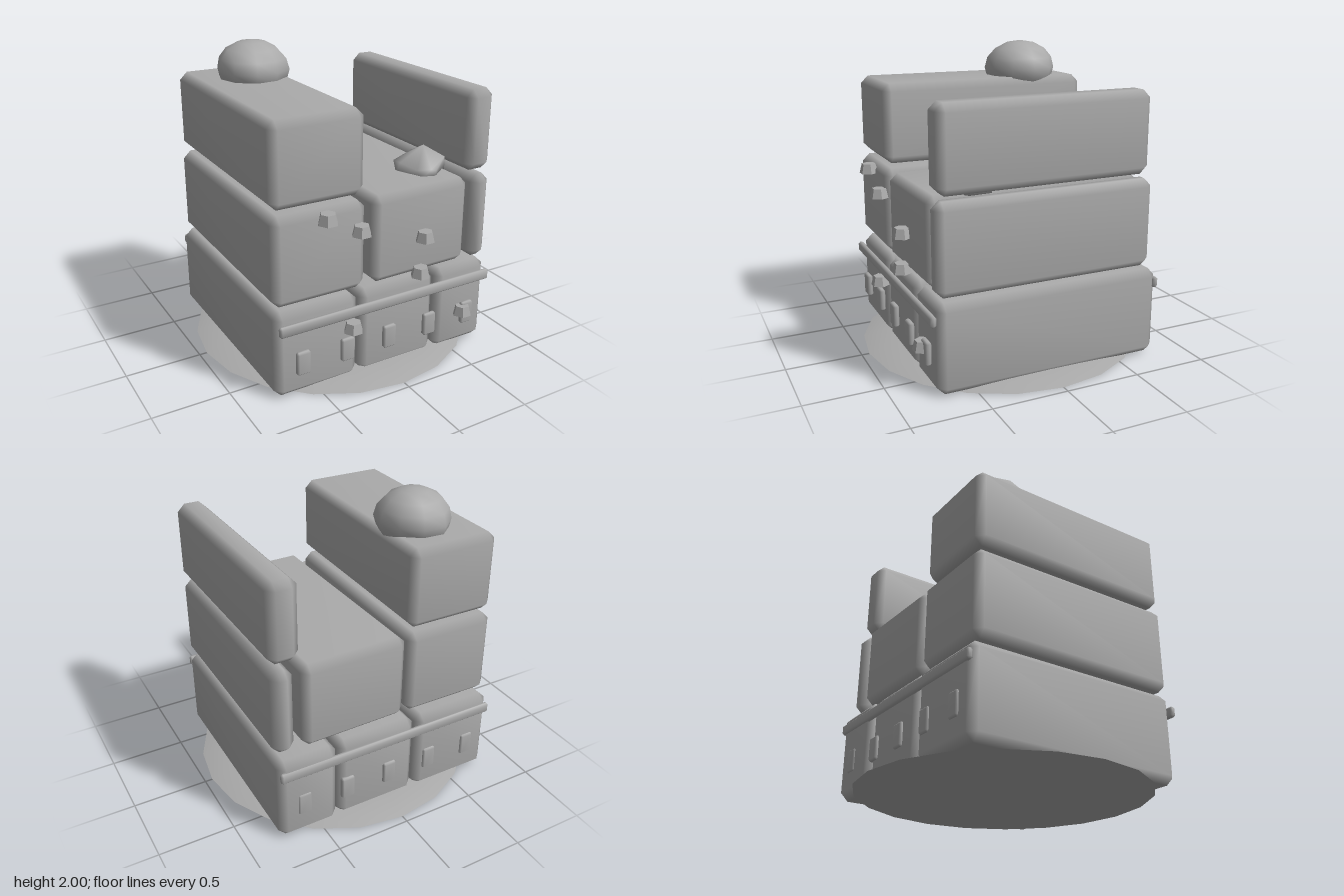
import * as THREE from 'three';
import { mergeVertices, toCreasedNormals } from 'three/addons/utils/BufferGeometryUtils.js';
import { ConvexGeometry } from 'three/addons/geometries/ConvexGeometry.js';

const stone = new THREE.MeshStandardMaterial({ color: 0xaaaaaa });
stone.name = 'grey stone';

// Weld corners so that normals run smoothly over the whole surface
function smooth(geometry) {
  geometry.deleteAttribute('normal');
  geometry.deleteAttribute('uv');
  const welded = mergeVertices(geometry, 1e-4);
  welded.computeVertexNormals();
  return welded;
}

// Box with one chamfer on every edge
function chamferBox(w, h, d, c) {
  const points = [];
  for (const x of [-1, 1]) for (const y of [-1, 1]) for (const z of [-1, 1]) {
    const [a, b, e] = [w / 2, h / 2, d / 2];
    points.push(
      new THREE.Vector3(x * a, y * (b - c), z * (e - c)),
      new THREE.Vector3(x * (a - c), y * b, z * (e - c)),
      new THREE.Vector3(x * (a - c), y * (b - c), z * e));
  }
  return smooth(new ConvexGeometry(points));
}

export function createModel() {
  const model = new THREE.Group();
  model.name = 'stackedBlocks';

  function add(name, geometry, x, y, z) {
    const mesh = new THREE.Mesh(geometry, stone);
    mesh.name = name;
    mesh.position.set(x, y, z);
    model.add(mesh);
    return mesh;
  }

  // Chamfered blocks: name, x range, y range, z range, slight yaw
  const blocks = [
    ['lowerRightBlock', -0.79, -0.21, 0.01, 0.595, -0.77, 0.74, 0],
    ['lowerMiddleBlock', -0.20, 0.37, 0.01, 0.595, -0.765, 0.74, 0],
    ['lowerLeftBlock', 0.38, 0.79, 0.01, 0.595, -0.775, 0.745, 0],
    ['middleRightBlock', -0.785, -0.155, 0.62, 1.2, -0.73, 0.74, -0.008],
    ['middleCentreBlock', -0.125, 0.605, 0.62, 1.2, -0.73, 0.74, 0.016],
    ['middleLeftBlock', 0.64, 0.785, 0.62, 1.2, -0.72, 0.745, 0],
    ['upperRightBlock', -0.78, -0.16, 1.23, 1.76, -0.72, 0.73, -0.012],
    ['upperLeftBlock', 0.585, 0.785, 1.23, 1.76, -0.69, 0.73, 0.008],
  ];
  for (const [name, x0, x1, y0, y1, z0, z1, yaw] of blocks) {
    add(name, chamferBox(x1 - x0, y1 - y0, z1 - z0, 0.05),
      (x0 + x1) / 2, (y0 + y1) / 2, (z0 + z1) / 2).rotation.y = yaw;
  }

  // Rails and small panels on the front and back of the lowest row
  const railShape = chamferBox(1.56, 0.07, 0.04, 0.013);
  const panelShape = chamferBox(0.095, 0.155, 0.04, 0.012);
  for (const [side, s] of [['front', 1], ['back', -1]]) {
    add(side + 'Rail', railShape, 0, 0.497, s * 0.77);
    for (let i = -2; i <= 2; i++) add(side + 'Panel', panelShape, i * 0.31, 0.248, s * 0.765);
  }

  // Six-sided climbing holds, each given by its centre x and lower y
  const holdShape = toCreasedNormals(
    new THREE.CylinderGeometry(0.048, 0.065, 0.065, 6).rotateY(Math.PI / 6), 0.5);
  for (const [x, y] of [[-0.455, 1.125], [-0.225, 1.003], [0.245, 0.86],
    [0.22, 0.62], [-0.275, 0.367], [0.58, 0.247]]) {
    add('climbingHold', holdShape, x, y + 0.0325, 0.775);
  }

  // Rounded boulder on the upper right block
  const boulder = smooth(new THREE.SphereGeometry(1, 10, 8));
  const p = boulder.attributes.position;
  for (let i = 0; i < p.count; i++) {
    const x = p.getX(i), y = p.getY(i), z = p.getZ(i);
    const k = 1 + 0.025 * Math.sin(7 * x + 3 * z) * (1 - y * y);
    p.setXYZ(i, x * k * 0.24, y * 0.19, z * k * 0.25);
  }
  boulder.computeVertexNormals();
  add('boulder', boulder, -0.385, 1.81, -0.345);

  // Angular rock on the middle centre block
  const rock = [
    [0.275, 1.265, 0.36], [0.28, 1.265, 0.43], [0.33, 1.24, 0.55], [0.4, 1.25, 0.605],
    [0.45, 1.23, 0.59], [0.6, 1.27, 0.48], [0.61, 1.18, 0.47], [0.6, 1.26, 0.32],
    [0.46, 1.29, 0.3], [0.37, 1.25, 0.315], [0.46, 1.36, 0.43],
    [0.285, 1.18, 0.38], [0.36, 1.18, 0.56], [0.45, 1.18, 0.59], [0.6, 1.18, 0.32], [0.4, 1.18, 0.32],
  ].map((q) => new THREE.Vector3(...q));
  add('rock', smooth(new ConvexGeometry(rock)), 0, 0, 0);

  // Low mound under the stack
  const profile = [[0, 0], [0.95, 0], [0.86, 0.023], [0.7, 0.043], [0.4, 0.05], [0, 0.052]]
    .map(([r, y]) => new THREE.Vector2(r, y));
  add('groundMound', toCreasedNormals(new THREE.LatheGeometry(profile, 20), 1), 0, 0, 0);

  return model;
}
